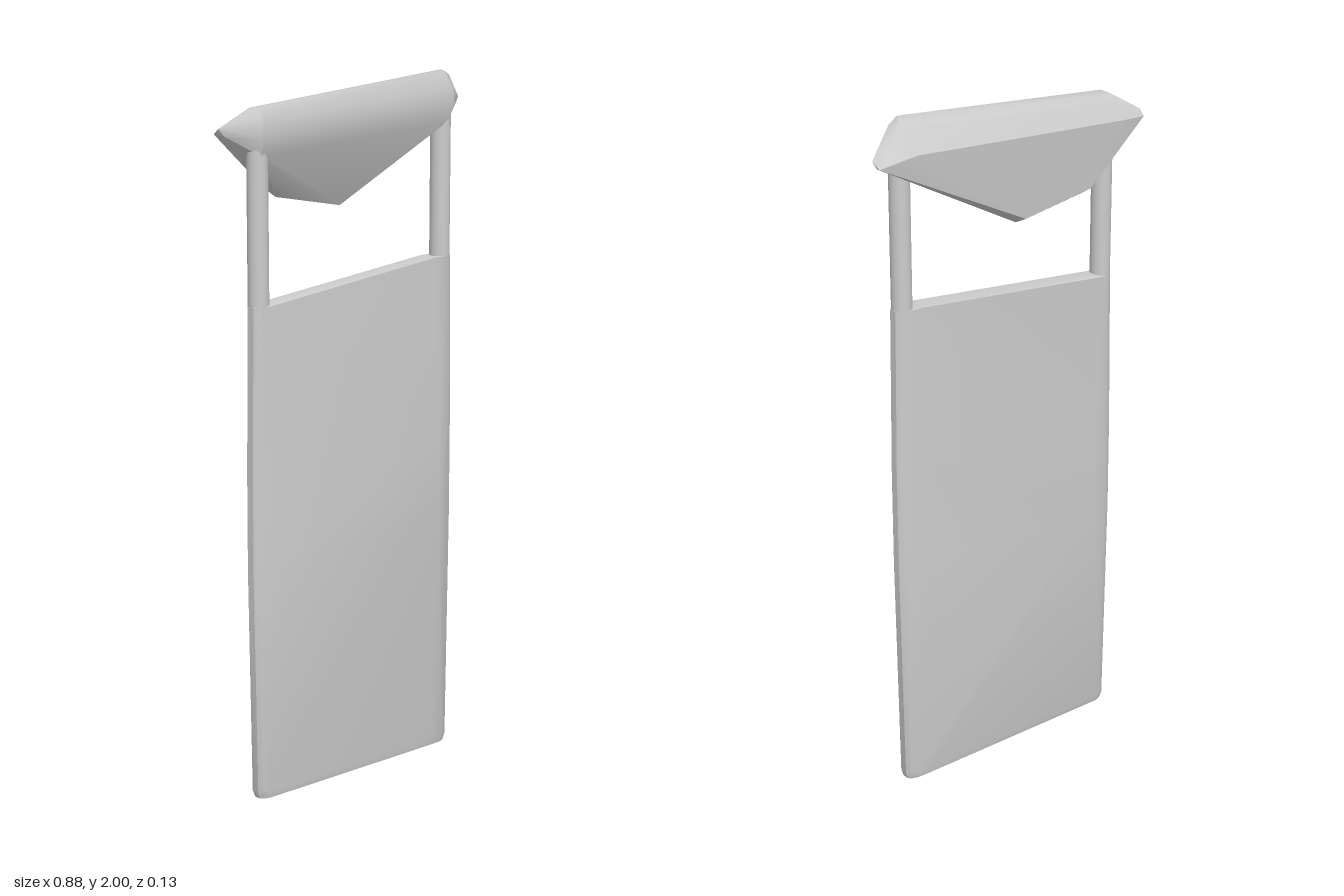
import * as THREE from 'three';
import { ConvexGeometry } from 'three/addons/geometries/ConvexGeometry.js';
import { toCreasedNormals } from 'three/addons/utils/BufferGeometryUtils.js';

const grey = new THREE.MeshStandardMaterial({ color: 0xcccccc });
grey.name = 'light grey';

// Convex solid with softened shallow edges
function hull(name, points) {
  const geometry = new ConvexGeometry(points.map((p) => new THREE.Vector3(...p)));
  const mesh = new THREE.Mesh(toCreasedNormals(geometry, 0.5), grey);
  mesh.name = name;
  return mesh;
}

// Upright cylinder between two heights
function post(name, x, bottom, top) {
  const geometry = new THREE.CylinderGeometry(0.029, 0.029, top - bottom, 16);
  const mesh = new THREE.Mesh(geometry, grey);
  mesh.position.set(x, (bottom + top) / 2, 0.015);
  mesh.name = name;
  return mesh;
}

// Rounded slab section: sides at xL and xR, heights yL and yR, extra thickness in the middle
function slabSection(xL, xR, yL, yR, front, back, inset = 0) {
  const points = [];
  for (const [x, y, s, bulge] of [[xL, yL, 1, front - 0.006], [xR, yR, -1, front]]) {
    const h = 0.03 - inset;
    for (const [dx, dz] of [[0, 0.4], [0.009, 0.75], [0.028, 1]]) {
      points.push([x + s * dx, y, 0.015 + dz * h], [x + s * dx, y, 0.015 - dz * h]);
    }
    points.push([x + s * 0.075, y, 0.015 + h + bulge], [x + s * 0.075, y, 0.015 - h - back]);
  }
  return points;
}

export function createModel() {
  const model = new THREE.Group();
  model.name = 'signPanel';

  // Main slab, swelling slightly at mid height, with a sloping top
  model.add(hull('panel', [
    ...slabSection(-0.368, 0.356, 0.014, 0.004, 0, 0, 0.004),
    ...slabSection(-0.375, 0.362, 0.035, 0.025, 0, 0),
    ...slabSection(-0.384, 0.371, 0.68, 0.72, 0.02, 0.008),
    ...slabSection(-0.383, 0.371, 0.95, 1.0, 0.015, 0.006),
    ...slabSection(-0.375, 0.364, 1.412, 1.475, 0, 0),
  ]));

  // Two posts joining slab and cap
  model.add(post('rightPost', -0.347, 1.3, 1.86));
  model.add(post('leftPost', 0.335, 1.3, 1.9));

  // Wedge cap with pointed ends and a keel low at the back
  model.add(hull('cap', [
    // top ridge
    [-0.355, 1.942, 0.035], [-0.36, 1.94, 0.0], [0.325, 2.0, 0.035], [0.345, 1.998, 0.0],
    [-0.34, 1.93, -0.035], [0.345, 1.985, -0.025],
    [0.362, 1.985, 0.02],
    // front face
    [-0.36, 1.91, 0.053], [0.35, 1.95, 0.05], [-0.36, 1.86, 0.055], [0.35, 1.9, 0.055],
    [-0.355, 1.815, 0.042], [0.335, 1.855, 0.042],
    // pointed ends
    [-0.442, 1.888, -0.03], [-0.44, 1.872, -0.05], [-0.43, 1.868, -0.02],
    [0.441, 1.915, -0.02], [0.44, 1.9, -0.05], [0.43, 1.893, -0.025],
    // back face
    [-0.35, 1.88, -0.064], [0.33, 1.92, -0.064],
    // keel
    [-0.02, 1.648, -0.02], [-0.03, 1.665, -0.052],
    [-0.24, 1.69, -0.035], [-0.25, 1.705, -0.056], [-0.28, 1.718, -0.03], [-0.315, 1.755, -0.045],
  ]));

  return model;
}
